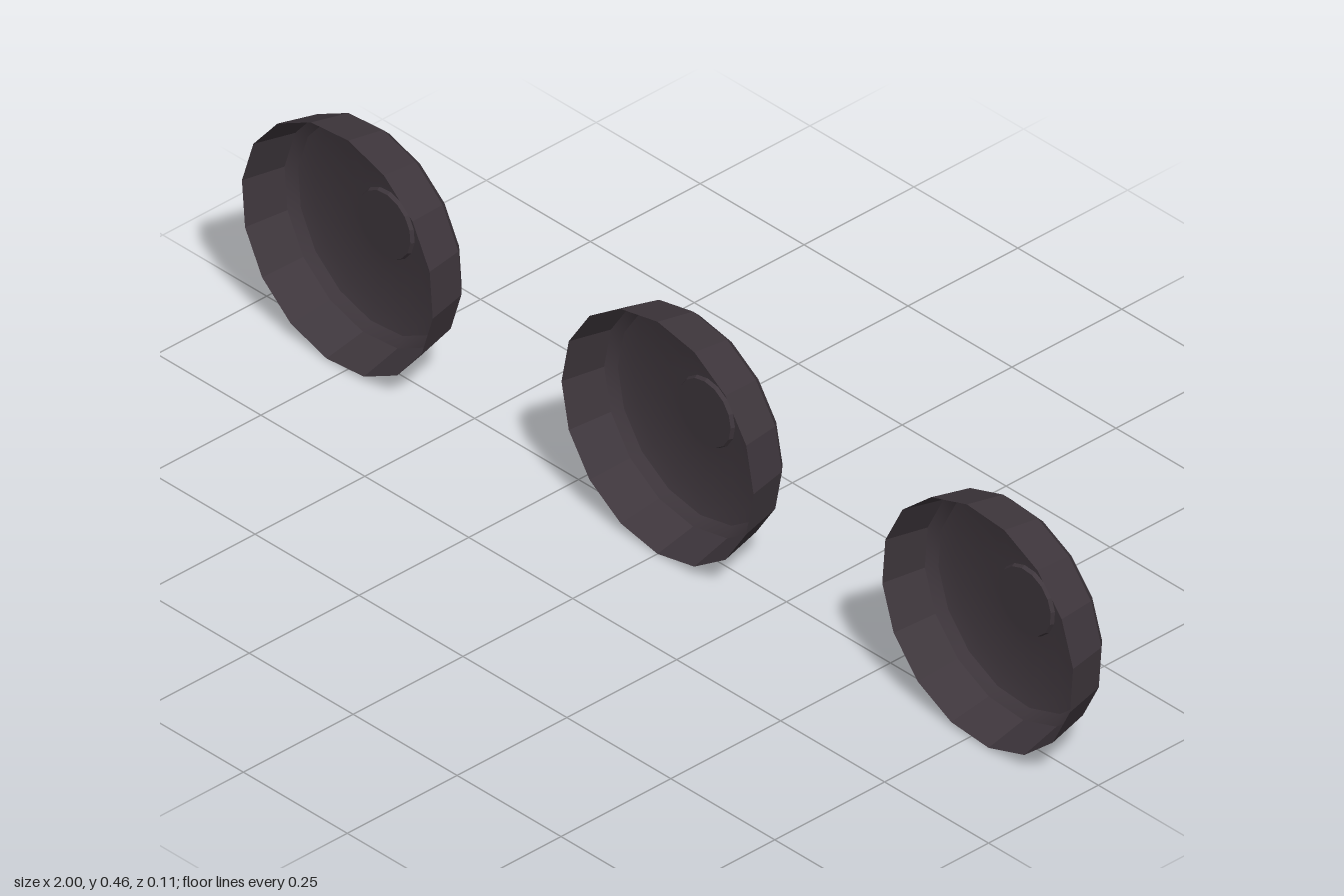
import * as THREE from 'three';
import { toCreasedNormals } from 'three/addons/utils/BufferGeometryUtils.js';

// Dish cross-section as [radius, depth], from the middle of the back to the open rim
const PROFILE = [
  [0, -0.05], [0.063, -0.05],    // recessed hub
  [0.066, -0.057], [0.085, -0.057],
  [0.17, -0.05], [0.198, -0.04], // rounded shoulder
  [0.214, -0.024], [0.231, 0.057], // flared side wall
];
const SIDES = 16;

export function createModel() {
  const group = new THREE.Group();
  const darkShell = new THREE.MeshStandardMaterial({ color: 0x3e363c, side: THREE.DoubleSide });
  darkShell.name = 'dark plum grey';

  const points = PROFILE.map(([r, y]) => new THREE.Vector2(r, y));
  const lathe = new THREE.LatheGeometry(points, SIDES).rotateX(Math.PI / 2);
  const dish = toCreasedNormals(lathe, 0.35);

  // Three open dishes in a row, the outer two turned slightly as mirror images
  const row = [['rightDish', -1], ['middleDish', 0], ['leftDish', 1]];
  for (const [name, side] of row) {
    const mesh = new THREE.Mesh(dish, darkShell);
    mesh.name = name;
    mesh.position.set(side * 0.77, 0.231, 0);
    mesh.rotation.z = side * THREE.MathUtils.degToRad(6.5);
    group.add(mesh);
  }
  return group;
}
